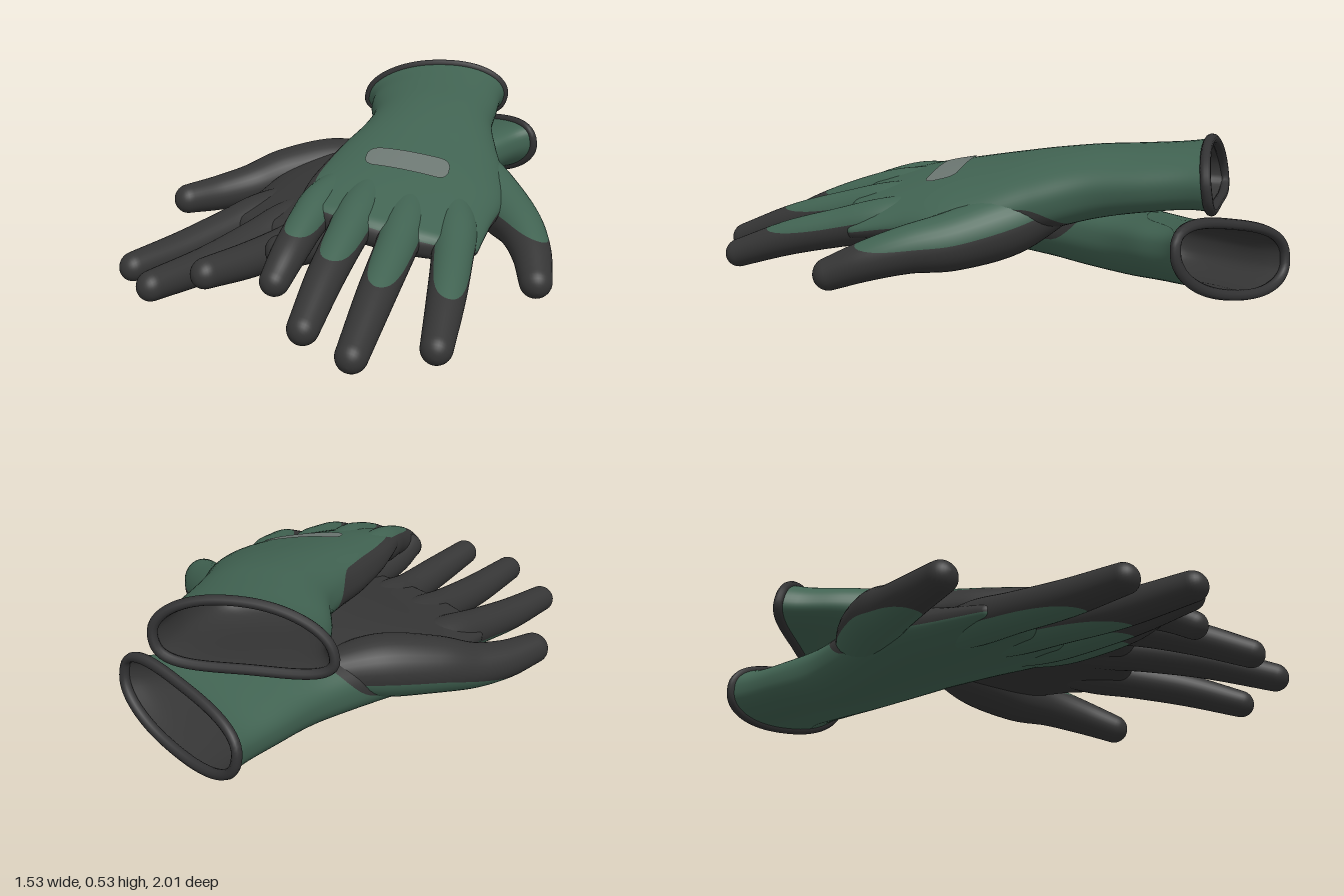
import * as THREE from 'three';

// Glove frame: cuff at the origin, fingers along +z, thumb on +x, back of the hand +y.
// Hand sections: z, left x, right x, palm y, back y, sideways slope
const HAND = [
  [0, -0.28, 0.275, -0.112, 0.115, 0.25],
  [0.06, -0.255, 0.262, -0.1, 0.116, 0.24],
  [0.2, -0.238, 0.255, -0.09, 0.124, 0.2],
  [0.38, -0.21, 0.25, -0.09, 0.14, 0.15],
  [0.55, -0.228, 0.285, -0.1, 0.143, 0.11],
  [0.72, -0.268, 0.33, -0.1, 0.136, 0.08],
  [0.9, -0.302, 0.345, -0.075, 0.127, 0.07],
  [1.05, -0.32, 0.315, -0.045, 0.115, 0.06],
  [1.23, -0.325, 0.29, -0.015, 0.095, 0.05],
];
const KNUCKLE = 1.23;
// Digit centre lines: x, y, z, radius; the coating covers everything past "end"
const DIGITS = {
  littleFinger: { end: 1.39, start: 1.1, spread: 1.15, path: [[-0.2, 0.01, 0.95, 0.06], [-0.25, 0.01, 1.12, 0.07], [-0.272, 0.005, 1.25, 0.063], [-0.29, -0.02, 1.4, 0.057], [-0.302, -0.057, 1.5, 0.049]] },
  ringFinger: { end: 1.49, start: 1.15, spread: 1.15, path: [[-0.1, 0.03, 0.95, 0.065], [-0.12, 0.034, 1.15, 0.076], [-0.133, 0.032, 1.3, 0.067], [-0.152, 0.005, 1.5, 0.06], [-0.163, -0.035, 1.7, 0.05]] },
  middleFinger: { end: 1.58, start: 1.15, spread: 1.15, path: [[0.03, 0.035, 0.95, 0.065], [0.035, 0.042, 1.15, 0.076], [0.03, 0.044, 1.32, 0.068], [0.015, 0.034, 1.55, 0.061], [0, 0, 1.795, 0.05]] },
  indexFinger: { end: 1.55, start: 1.15, spread: 1.2, path: [[0.17, 0.04, 0.95, 0.065], [0.2, 0.044, 1.12, 0.076], [0.213, 0.047, 1.28, 0.068], [0.223, 0.045, 1.48, 0.061], [0.23, 0.025, 1.69, 0.05]] },
  thumb: { end: 1.1, start: 0.6, spread: 1.4, path: [[0.14, 0, 0.5, 0.07], [0.24, -0.012, 0.66, 0.106], [0.35, -0.005, 0.82, 0.098], [0.42, 0.015, 0.95, 0.08], [0.468, 0.015, 1.08, 0.067], [0.497, 0, 1.21, 0.055]] },
};
const POWER = 0.82, DROOP = 2;

const spline = (keys, rows) => {
  const s = new THREE.CubicInterpolant(keys, rows.flat(), rows[0].length);
  return (t) => Array.from(s.evaluate(t));
};
const handAt = spline(HAND.map((r) => r[0]), HAND.map((r) => r.slice(1)));
const bent = (c, p) => Math.sign(c) * Math.abs(c) ** p;
const lean = (slope, dx) => slope * (dx - DROOP * dx * dx);

// A point on the hand's section: [x, y, z, height above the leaning middle line]
function handPoint(z, angle, scale = 1, push = 0) {
  const [l, r, b, t, slope] = handAt(z);
  const dx = bent(Math.cos(angle), POWER) * (r - l) / 2 * scale;
  const x = (l + r) / 2 + dx;
  const h = (b + t) / 2 + bent(Math.sin(angle), POWER) * (t - b) / 2 * scale;
  const skew = Math.max(0, 1 - z / 0.3) * (0.08 * h + 0.04 * dx);
  return [x, h + lean(slope, dx), z + push - skew - 0.4 * (x - 0.03) ** 2 * (z / KNUCKLE) ** 4, h];
}

// Height of the back of the hand at x, z
function backHeight(x, z) {
  const [l, r, b, t, slope] = handAt(z);
  const dx = x - (l + r) / 2;
  const k = 1 - Math.abs(dx / ((r - l) / 2)) ** (2 / POWER);
  return (b + t) / 2 + (t - b) / 2 * k ** (POWER / 2) + lean(slope, dx);
}

// Skin over rings of points; each point carries a colour field (positive = fabric)
function loft(rings, segs, point) {
  const pos = [], field = [], index = [];
  for (let i = 0; i <= rings; i++) {
    for (let j = 0; j < segs; j++) {
      const [x, y, z, f] = point(i, (j / segs) * Math.PI * 2);
      pos.push(x, y, z);
      field.push(f);
      if (i === rings) continue;
      const a = i * segs + j, b = i * segs + (j + 1) % segs;
      index.push(a, b, a + segs, b, b + segs, a + segs);
    }
  }
  const geo = new THREE.BufferGeometry();
  geo.setAttribute('position', new THREE.Float32BufferAttribute(pos, 3));
  geo.setIndex(index);
  geo.computeVertexNormals();
  return { geo, field };
}

// Keep the part of a skin where sign * field is positive, cutting triangles on the border
function cut({ geo, field }, sign) {
  const { position, normal } = geo.attributes, idx = geo.index.array;
  const out = { position: [], normal: [] };
  const mix = (attr, a, b, t) => [0, 1, 2].map((k) =>
    THREE.MathUtils.lerp(attr.array[a * 3 + k], attr.array[b * 3 + k], t));
  for (let i = 0; i < idx.length; i += 3) {
    const poly = [];
    for (let k = 0; k < 3; k++) {
      const a = idx[i + k], b = idx[i + (k + 1) % 3];
      const fa = field[a] * sign, fb = field[b] * sign;
      if (fa >= 0) poly.push([a, a, 0]);
      if (fa * fb < 0) poly.push([a, b, fa / (fa - fb)]);
    }
    for (let k = 1; k < poly.length - 1; k++) {
      for (const v of [poly[0], poly[k], poly[k + 1]]) {
        out.position.push(...mix(position, ...v));
        out.normal.push(...mix(normal, ...v));
      }
    }
  }
  const g = new THREE.BufferGeometry();
  for (const n in out) g.setAttribute(n, new THREE.Float32BufferAttribute(out[n], 3));
  return g;
}

// Hand from cuff to knuckles with a rounded end
function handSkin() {
  const body = 60, cap = 8;
  return loft(body + cap, 72, (i, a) => {
    const q = Math.max(0, i - body) / cap * Math.PI / 2;
    const p = handPoint(KNUCKLE * Math.min(1, i / body), a, Math.cos(q), 0.06 * Math.sin(q));
    const edge = 0.045 - 0.1 * Math.min(0, p[0]) + 0.03 * THREE.MathUtils.smoothstep(p[2], 1.22, 1.3);
    const wrist = 4.6 * Math.max(0, 0.62 - p[2]) ** 2;
    return [p[0], p[1], p[2], p[3] - edge + wrist];
  });
}

// Tapered tube with a round tip
function digitSkin({ path, end, start, spread }) {
  const at = spline(path.map((_, i) => i), path), last = path.length - 1, body = 36, cap = 8;
  return loft(body + cap, 32, (i, a) => {
    const t = last * Math.min(1, i / body), q = Math.max(0, i - body) / cap * Math.PI / 2;
    const [x, y, z, r] = at(t);
    const before = at(Math.max(0, t - 0.05)), after = at(Math.min(last, t + 0.05));
    const dir = new THREE.Vector3(...[0, 1, 2].map((k) => after[k] - before[k])).normalize();
    const side = new THREE.Vector3(0, 1, 0).cross(dir).normalize();
    const up = dir.clone().cross(side);
    const p = new THREE.Vector3(x, y, z)
      .addScaledVector(dir, r * Math.sin(q))
      .addScaledVector(side, r * Math.cos(q) * Math.cos(a))
      .addScaledVector(up, r * Math.cos(q) * Math.sin(a));
    const turn = Math.acos(THREE.MathUtils.clamp(Math.sin(a), -1, 1)) / spread;
    return [p.x, p.y, p.z, 1 - turn ** 2 - Math.max(0, (p.z - start) / (end - start)) ** 4];
  });
}

// Rounded plate that follows the back of the hand
function patchGeometry() {
  const w = 0.145, h = 0.06, r = 0.04;
  const geo = new THREE.PlaneGeometry(2 * w, 2 * h, 40, 10).rotateX(-Math.PI / 2);
  const p = geo.attributes.position;
  for (let i = 0; i < p.count; i++) {
    const over = Math.max(0, Math.abs(p.getX(i)) - w + r);
    const half = h - r + Math.sqrt(Math.max(0, r * r - over * over));
    const x = p.getX(i) - 0.015, z = 0.905 + p.getZ(i) * half / h;
    p.setXYZ(i, x, backHeight(x, z) + 0.005, z);
  }
  geo.computeVertexNormals();
  return geo;
}

// One glove; "arch" lifts the middle, "untwist" levels the cuff, "patch" adds the plate on the back
function makeGlove(name, mats, { arch, untwist, patch }) {
  const glove = new THREE.Group();
  glove.name = name;
  const add = (part, geo, mat) => {
    const p = geo.attributes.position;
    for (let i = 0; i < p.count; i++) {
      const x = p.getX(i), z = p.getZ(i);
      const level = untwist * Math.max(0, 1 - z / 0.7) * (x - DROOP * x * x);
      p.setY(i, p.getY(i) + arch * Math.sin(Math.PI * z / 1.8) - level);
    }
    const m = new THREE.Mesh(geo, mat);
    m.name = part;
    glove.add(m);
  };
  const skins = { hand: handSkin() };
  for (const d in DIGITS) skins[d] = digitSkin(DIGITS[d]);
  for (const s in skins) {
    add(s + 'Fabric', cut(skins[s], 1), mats.fabric);
    add(s + 'Coating', cut(skins[s], -1), mats.coating);
  }
  // Inside of the cuff and its bound edge
  const liner = loft(24, 48, (i, a) =>
    [...handPoint(0.46 * i / 24, a, 0.95 * Math.sqrt(1 - (i / 24) ** 6)).slice(0, 3), 1]);
  add('cuffLining', liner.geo, mats.coating);
  const edge = Array.from({ length: 40 }, (_, i) =>
    new THREE.Vector3(...handPoint(0, i / 40 * Math.PI * 2, 0.985).slice(0, 3)));
  add('cuffRim', new THREE.TubeGeometry(new THREE.CatmullRomCurve3(edge, true), 96, 0.017, 10, true), mats.rim);
  if (patch) add('backPatch', patchGeometry(), mats.patch);
  return glove;
}

// Lay a glove by its cuff centre, middle fingertip and thumb tip
function lay(glove, cuff, middle, thumb) {
  const c = new THREE.Vector3(...cuff);
  const z = new THREE.Vector3(...middle).sub(c).normalize();
  const y = z.clone().cross(new THREE.Vector3(...thumb).sub(c)).normalize();
  const x = y.clone().cross(z);
  glove.quaternion.setFromRotationMatrix(new THREE.Matrix4().makeBasis(x, y, z));
  glove.position.copy(c);
  return glove;
}

export function createModel() {
  const mat = (name, color, side = THREE.FrontSide) =>
    Object.assign(new THREE.MeshStandardMaterial({ color, side }), { name });
  const mats = {
    fabric: mat('green fabric', 0x416352),
    coating: mat('dark coating', 0x353535, THREE.DoubleSide),
    rim: mat('rim binding', 0x323233),
    patch: mat('grey patch', 0x6c7772),
  };
  const upper = makeGlove('upperGlove', mats, { arch: 0.025, untwist: 0, patch: true });
  const lower = makeGlove('lowerGlove', mats, { arch: -0.042, untwist: 0.15, patch: false });
  const model = new THREE.Group();
  model.name = 'workGloves';
  model.add(
    lay(upper, [-0.02, 0.395, -0.76], [0.38, 0.06, 0.98], [0.72, 0.05, 0.29]),
    lay(lower, [0.13, 0.145, -0.89], [-0.4, 0.085, 0.845], [-0.73, 0.06, 0.18]),
  );
  // Rest the pair on the ground
  model.updateMatrixWorld(true);
  const low = new THREE.Box3().setFromObject(model, true).min.y;
  for (const glove of model.children) glove.position.y -= low;
  return model;
}
